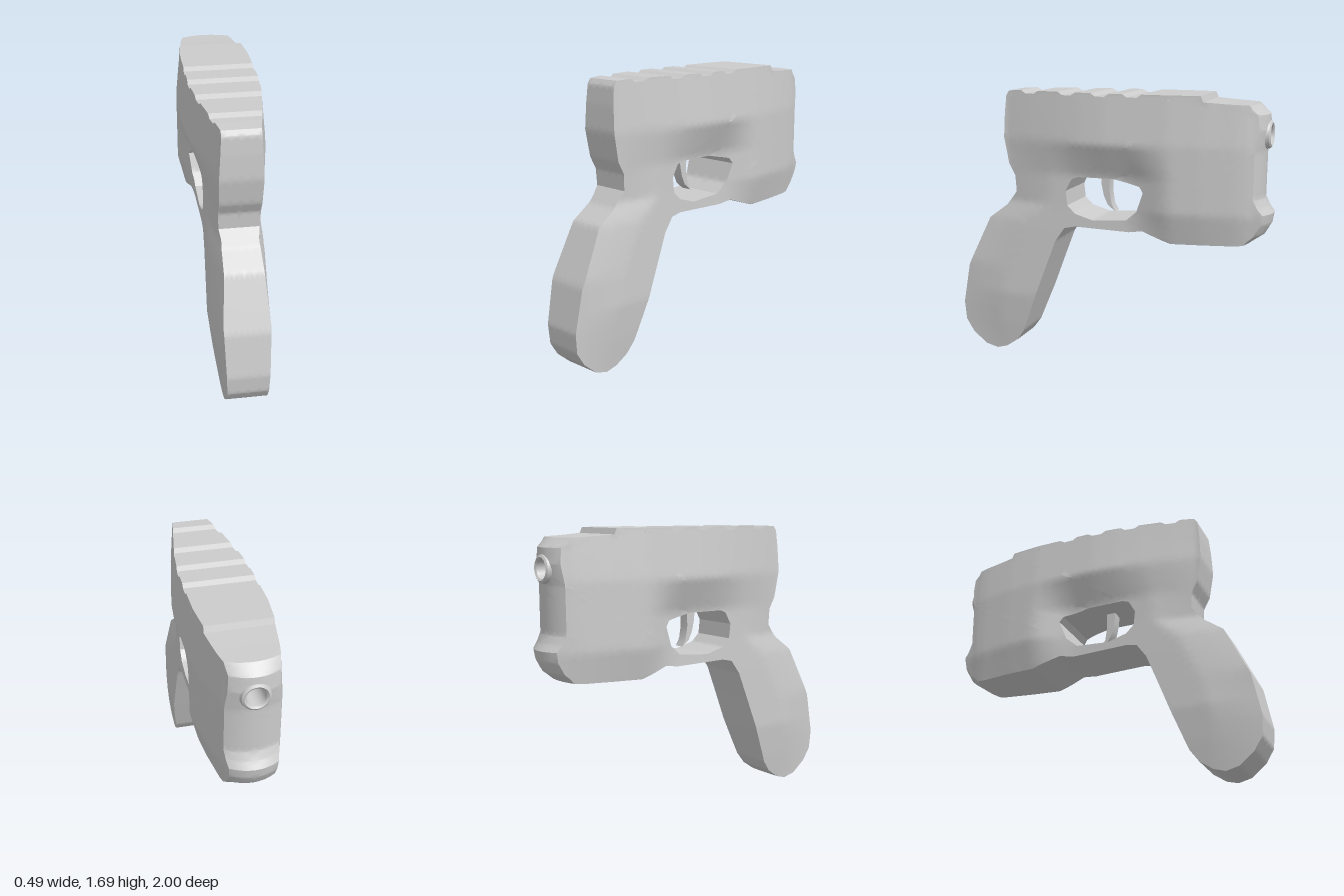
import * as THREE from 'three';
import { toCreasedNormals } from 'three/addons/utils/BufferGeometryUtils.js';

const ramp = (a, b, v) => Math.min(1, Math.max(0, (v - a) / (b - a)));
const lerp = THREE.MathUtils.lerp;

// Piecewise linear lookup in [key, value] pairs
function table(pairs, v) {
  for (let i = 1; i < pairs.length; i++) {
    if (v <= pairs[i][0]) {
      return lerp(pairs[i - 1][1], pairs[i][1], ramp(pairs[i - 1][0], pairs[i][0], v));
    }
  }
  return pairs[pairs.length - 1][1];
}

const toPoints = (list) => list.map(([z, y]) => new THREE.Vector2(z, y));

// Extrude a (z, y) profile along x, centred on x = 0
function sideExtrude(shape, width) {
  const geo = new THREE.ExtrudeGeometry(shape, { depth: width, bevelEnabled: false });
  return geo.translate(0, 0, -width / 2).rotateY(-Math.PI / 2);
}

// Muzzle bore position on the front end
const BORE_Y = 1.47;
const nearBore = (p, r) => p.z < -0.9 && Math.hypot(p.x, p.y - BORE_Y) < r;

// Split edges at their middle until all are short, finer around the bore
function refine(geo) {
  const pos = (geo.index ? geo.toNonIndexed() : geo).attributes.position;
  const out = [];
  const mid = (a, b) => a.clone().add(b).multiplyScalar(0.5);
  const ratio = (a, b) => a.distanceTo(b) / (nearBore(mid(a, b), 0.13) ? 0.02 : 0.055);
  const split = (a, b, c) => {
    const r = [ratio(a, b), ratio(b, c), ratio(c, a)];
    const top = Math.max(...r);
    if (top <= 1) out.push([a, b, c]);
    else {
      const [p, q, s] = top === r[0] ? [a, b, c] : top === r[1] ? [b, c, a] : [c, a, b];
      const m = mid(p, q);
      split(p, m, s);
      split(m, q, s);
    }
  };
  const v = (i) => new THREE.Vector3().fromBufferAttribute(pos, i);
  for (let i = 0; i < pos.count; i += 3) split(v(i), v(i + 1), v(i + 2));
  return out;
}

// Half width of the frame at a point of the side profile
const BODY = [[-1, 0.14], [-0.95, 0.155], [-0.9, 0.17], [-0.6, 0.222], [-0.4, 0.243],
  [0, 0.24], [0.15, 0.225], [0.3, 0.2], [0.5, 0.16], [0.66, 0.125], [1, 0.12]];
const GRIP_FRONT = [[0, 0.12], [0.2, 0.148], [0.4, 0.17], [0.8, 0.165], [1, 0.16], [1.2, 0.16]];
const GRIP_BACK = [[0, 0.115], [0.3, 0.125], [0.6, 0.135], [1, 0.105], [1.2, 0.12]];
const BACK_EDGE = [[0, 0.98], [0.3, 1], [0.56, 0.95], [0.88, 0.8], [1, 0.66], [1.2, 0.64]];

function halfWidth(z, y) {
  const taper = (1 - 0.13 * ramp(1.4, 1.69, y)) * (1 - 0.2 * ramp(1.0, 0.81, y));
  const body = table(BODY, z) * taper;
  const across = ramp(0, 0.28, table(BACK_EDGE, y) - z);
  const grip = lerp(table(GRIP_BACK, y), table(GRIP_FRONT, y), across);
  const recess = ramp(1.39, 1.19, y) * THREE.MathUtils.smoothstep(z, -0.45, -0.12);
  return lerp(body, grip, recess);
}

function frameGeometry() {
  // Ridged top, from rear to front
  const top = [[0.65, 1.69]];
  for (const z of [0.5, 0.24, 0.02, -0.18]) {
    top.push([z + 0.06, 1.695], [z + 0.03, 1.676], [z - 0.03, 1.676], [z - 0.06, 1.695]);
  }
  const shape = new THREE.Shape(toPoints([
    ...top,
    [-0.59, 1.695], [-0.605, 1.66], [-0.75, 1.65], [-0.9, 1.645],
    // front end and chin
    [-0.96, 1.59], [-0.968, 1.5], [-0.948, 1.38], [-0.945, 1.1], [-0.97, 1.05],
    [-1, 1.01], [-0.99, 0.95], [-0.95, 0.88], [-0.87, 0.825],
    // underside and guard
    [-0.8, 0.82], [-0.42, 0.815], [-0.24, 0.875], [-0.15, 0.86], [0.2, 0.87], [0.27, 0.855],
    // grip
    [0.33, 0.77], [0.4, 0.59], [0.48, 0.38], [0.57, 0.15], [0.62, 0.08], [0.7, 0.025],
    [0.77, 0.005], [0.85, 0.025], [0.94, 0.1], [0.99, 0.18], [1, 0.3], [0.95, 0.56],
    [0.8, 0.88], [0.68, 0.97], [0.61, 1.06], [0.615, 1.16],
    // rear
    [0.655, 1.235], [0.685, 1.4], [0.68, 1.55], [0.67, 1.66],
  ]));
  shape.holes.push(new THREE.Path(toPoints([
    [0.26, 1.09], [0.22, 1.165], [0.18, 1.18], [-0.05, 1.18], [-0.22, 1.145], [-0.245, 1.11],
    [-0.2, 0.99], [-0.13, 0.93], [0.08, 0.915], [0.2, 0.95], [0.25, 1.0],
  ])));

  // Swell the sides and round the front end across its width
  const place = (p) => {
    const r = p.x / 0.2;
    const bow = 0.045 * r * r * ramp(-0.8, -0.93, p.z);
    return new THREE.Vector3(r * halfWidth(p.z, p.y), p.y, p.z + bow);
  };
  const data = [];
  for (const tri of refine(sideExtrude(shape, 0.4))) {
    const t = tri.map(place);
    const c = t[0].clone().add(t[1]).add(t[2]).divideScalar(3);
    if (nearBore(c, 0.064)) continue; // opening for the bore
    for (const p of t) data.push(p.x, p.y, p.z);
  }
  const geo = new THREE.BufferGeometry();
  geo.setAttribute('position', new THREE.Float32BufferAttribute(data, 3));
  return toCreasedNormals(geo, 0.55);
}

export function createModel() {
  const model = new THREE.Group();
  const grey = new THREE.MeshStandardMaterial({ color: 0xcccccc });
  const greyDouble = new THREE.MeshStandardMaterial({ color: 0xcccccc, side: THREE.DoubleSide });
  const add = (name, geo, material = grey) => {
    const mesh = new THREE.Mesh(geo, material);
    mesh.name = name;
    model.add(mesh);
    return mesh;
  };

  add('frame', frameGeometry());

  // Curved trigger inside the guard
  const trigger = new THREE.Shape(toPoints([
    [0.075, 1.2], [0.07, 1.12], [0.055, 1.05], [0.03, 0.995], [-0.02, 0.955],
    [0.005, 1.0], [0.018, 1.08], [0.015, 1.2],
  ]));
  add('trigger', toCreasedNormals(sideExtrude(trigger, 0.07), 0.55));

  // Muzzle lip with a closed bore behind it
  const lip = toPoints([[0.088, -0.02], [0.08, 0.004], [0.068, 0.012], [0.057, 0.004],
    [0.054, -0.02], [0.054, -0.2], [0, -0.2]]);
  const bore = toCreasedNormals(new THREE.LatheGeometry(lip, 24), 0.6);
  bore.rotateX(-Math.PI / 2).translate(0, BORE_Y, -0.964);
  add('muzzle', bore, greyDouble);

  return model;
}
